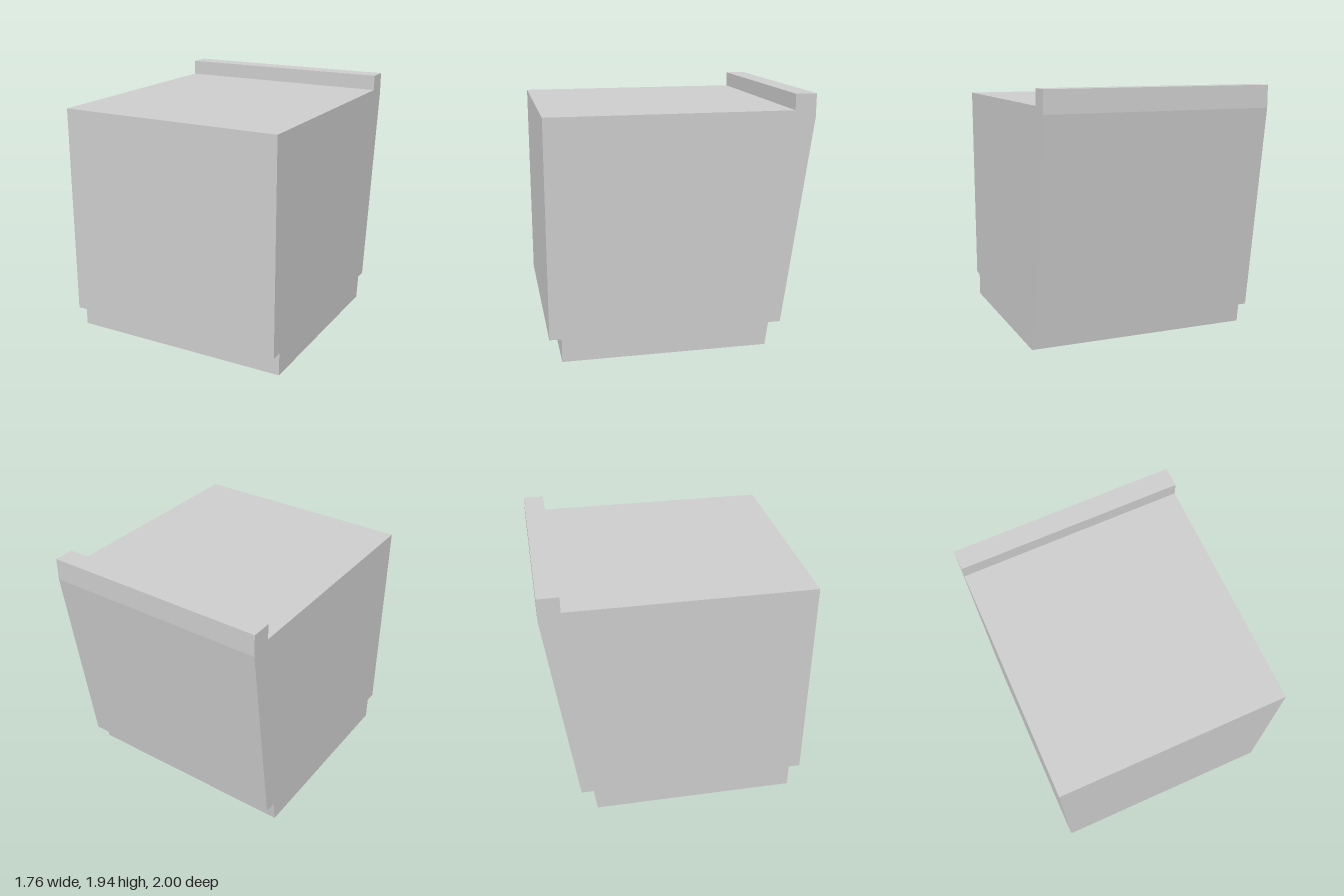
import * as THREE from 'three';

const WIDTH = 1.76;

// Side profile as [z, y]: recessed plinth, slanted back, raised lip at the rear
const PROFILE = [
  [0.91, 0], [0.91, 0.18], [1, 0.18], [1, 1.82],
  [-0.84, 1.82], [-0.84, 1.94], [-1, 1.94], [-1, 1.77],
  [-0.78, 0.18], [-0.685, 0.18], [-0.66, 0],
];

export function createModel() {
  const group = new THREE.Group();
  group.name = 'cabinet';

  const lightGrey = new THREE.MeshStandardMaterial({ color: 0xcccccc });
  lightGrey.name = 'light grey';

  // One solid cabinet, its side profile extruded across the width
  const shape = new THREE.Shape(PROFILE.map(([z, y]) => new THREE.Vector2(z, y)));
  const geometry = new THREE.ExtrudeGeometry(shape, { depth: WIDTH, bevelEnabled: false });
  geometry.translate(0, 0, -WIDTH / 2);
  geometry.rotateY(-Math.PI / 2); // profile axis onto z, depth onto x

  const body = new THREE.Mesh(geometry, lightGrey);
  body.name = 'cabinetBody';
  group.add(body);
  return group;
}
